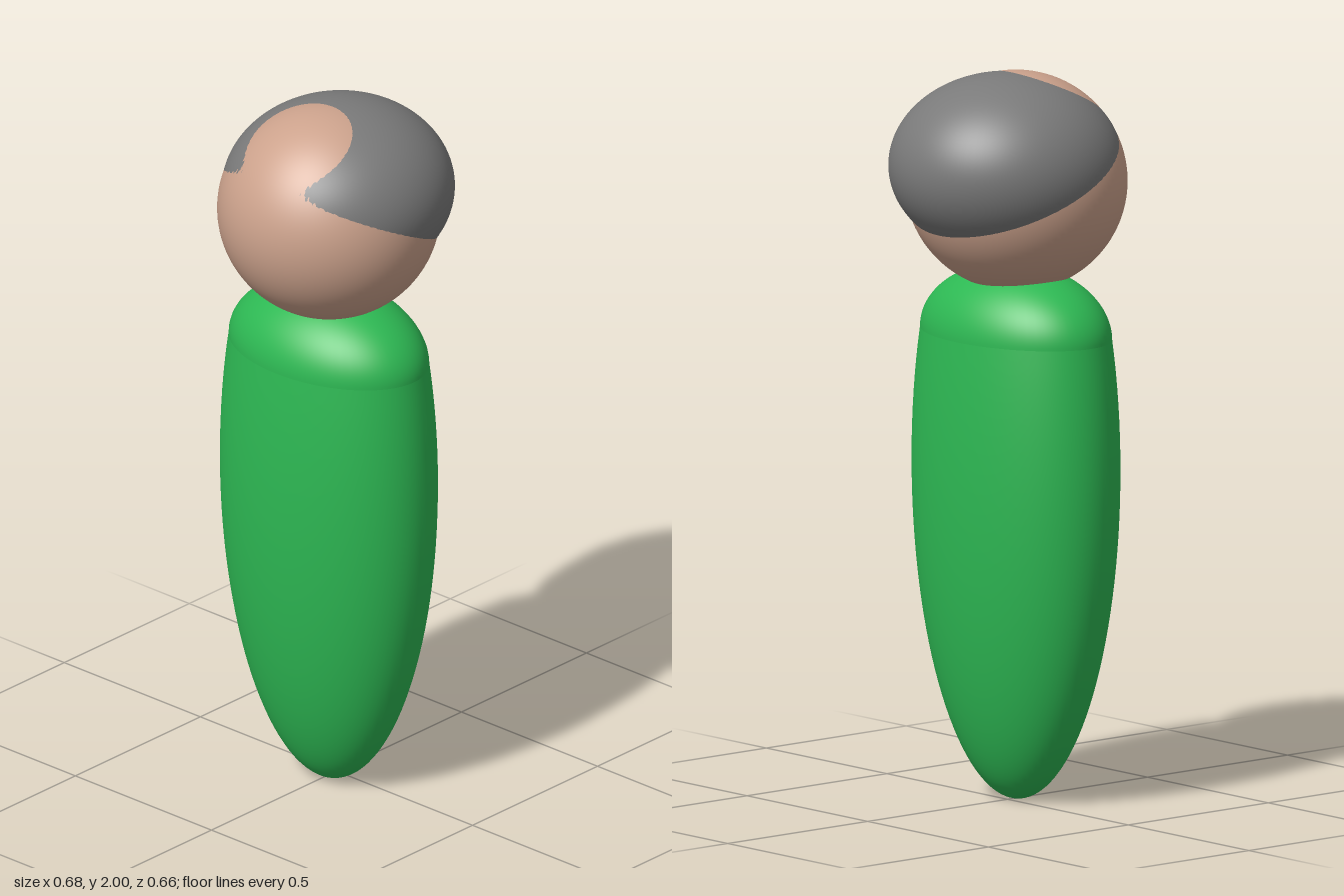
import * as THREE from 'three';

const SKIN = 0xcca28c, HAIR = 0x7a7a7a, GREEN = 0x2db853;

function addPart(group, name, geometry, color) {
  const mesh = new THREE.Mesh(geometry, new THREE.MeshStandardMaterial({ color }));
  mesh.name = name;
  group.add(mesh);
  return mesh;
}

// Smooth ellipsoid from its three radii and centre
function ellipsoid(rx, ry, rz, x, y, z) {
  return new THREE.SphereGeometry(1, 96, 64).scale(rx, ry, rz).translate(x, y, z);
}

// Slice of an ellipsoid of revolution, between two latitudes, bottom to top
function ellipsoidSlice(radius, height, centreY, from, to) {
  const points = [];
  const steps = 40;
  for (let i = 0; i <= steps; i++) {
    const a = from + (to - from) * i / steps;
    points.push(new THREE.Vector2(Math.max(0, radius * Math.cos(a)), centreY + height * Math.sin(a)));
  }
  return new THREE.LatheGeometry(points, 64);
}

export function createModel() {
  const model = new THREE.Group();
  model.name = 'figure';

  // Body: a long tapered egg with a rounded shoulder cap, flattened front to back
  const body = new THREE.Group();
  body.name = 'body';
  body.position.z = 0.03;
  body.scale.z = 0.68;
  model.add(body);

  const seamY = 1.28, middleY = 0.92;
  const seamAngle = Math.asin((seamY - middleY) / middleY);
  const seamRadius = 0.34 * Math.cos(seamAngle);
  addPart(body, 'torso', ellipsoidSlice(0.34, middleY, middleY, -Math.PI / 2, seamAngle), GREEN);
  addPart(body, 'shoulders', ellipsoidSlice(seamRadius, 0.19, seamY, 0, Math.PI / 2), GREEN);

  // Head, with a hair cap that emerges where its flatter ellipsoid is the outer one
  addPart(model, 'head', ellipsoid(0.305, 0.3, 0.3, 0, 1.7, 0.03), SKIN);
  addPart(model, 'hair', ellipsoid(0.31, 0.25, 0.323, 0, 1.75, -0.007), HAIR);

  return model;
}
